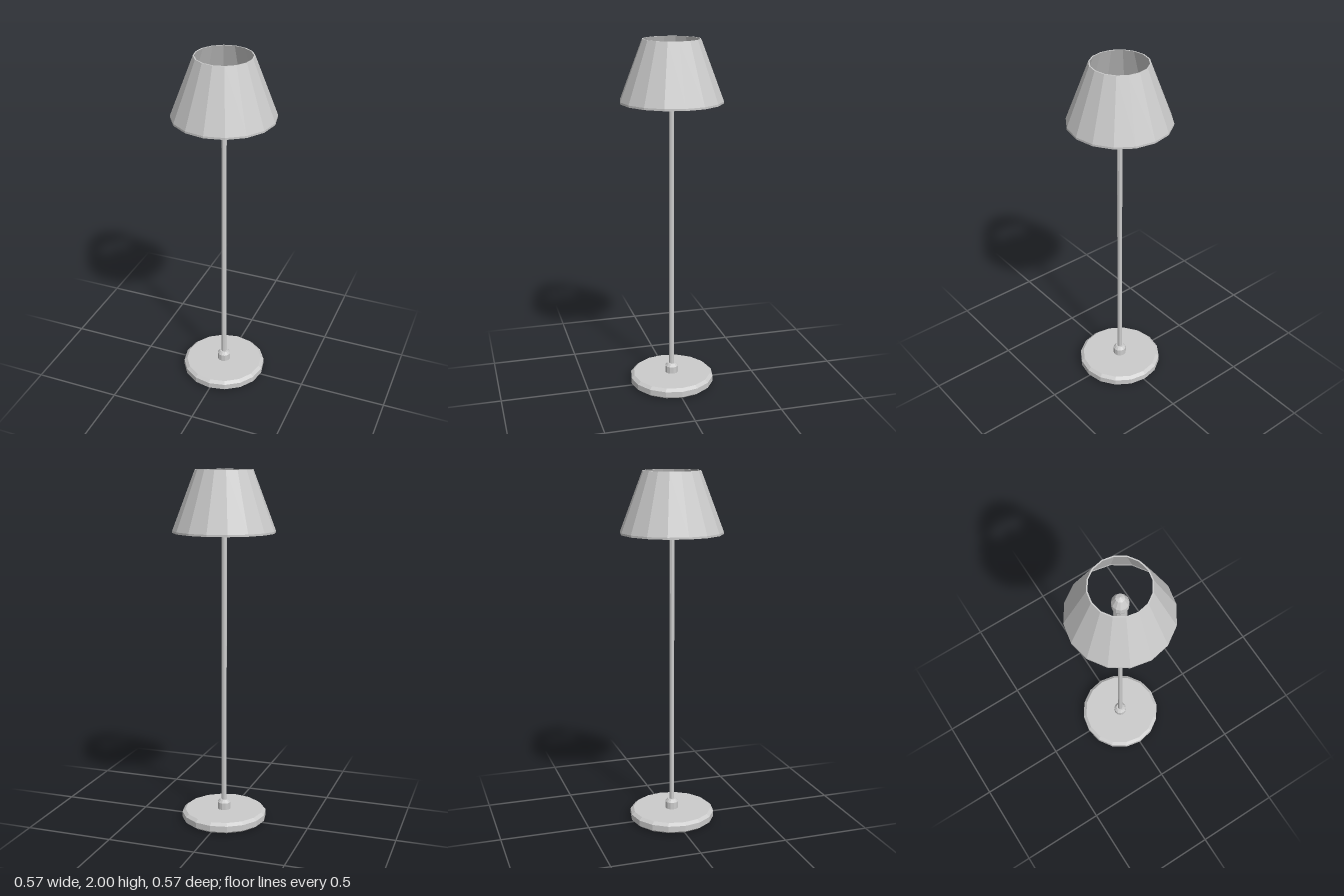
import * as THREE from 'three';

const material = new THREE.MeshStandardMaterial({ color: 0xcccccc, flatShading: true });

// Revolve a [radius, height] profile, listed from bottom to top on the outside
function turned(name, sides, profile) {
  const points = profile.map(([r, y]) => new THREE.Vector2(r, y));
  const mesh = new THREE.Mesh(new THREE.LatheGeometry(points, sides), material);
  mesh.name = name;
  return mesh;
}

export function createModel() {
  const lamp = new THREE.Group();
  lamp.name = 'floorLamp';

  lamp.add(
    // Heavy disc with bevelled edges
    turned('base', 16, [[0, 0], [0.228, 0], [0.243, 0.012], [0.243, 0.045], [0.225, 0.06], [0, 0.06]]),
    // Collar where the pole meets the base
    turned('collar', 12, [[0, 0.055], [0.038, 0.055], [0.038, 0.1], [0.024, 0.116], [0, 0.116]]),
    turned('pole', 10, [[0, 0.1], [0.0145, 0.1], [0.0145, 1.67], [0, 1.67]]),
    // Bulb holder and bulb inside the shade
    turned('socket', 12, [[0, 1.653], [0.035, 1.653], [0.035, 1.755], [0, 1.755]]),
    turned('bulb', 12, [[0, 1.75], [0.035, 1.75], [0.045, 1.78], [0.045, 1.82], [0.024, 1.865], [0, 1.875]]),
    // Thin-walled shade, open at both ends, with a small lip below
    turned('shade', 16, [[0.276, 1.661], [0.284, 1.661], [0.284, 1.672], [0.159, 2], [0.152, 2], [0.276, 1.672], [0.276, 1.661]]),
  );
  return lamp;
}
